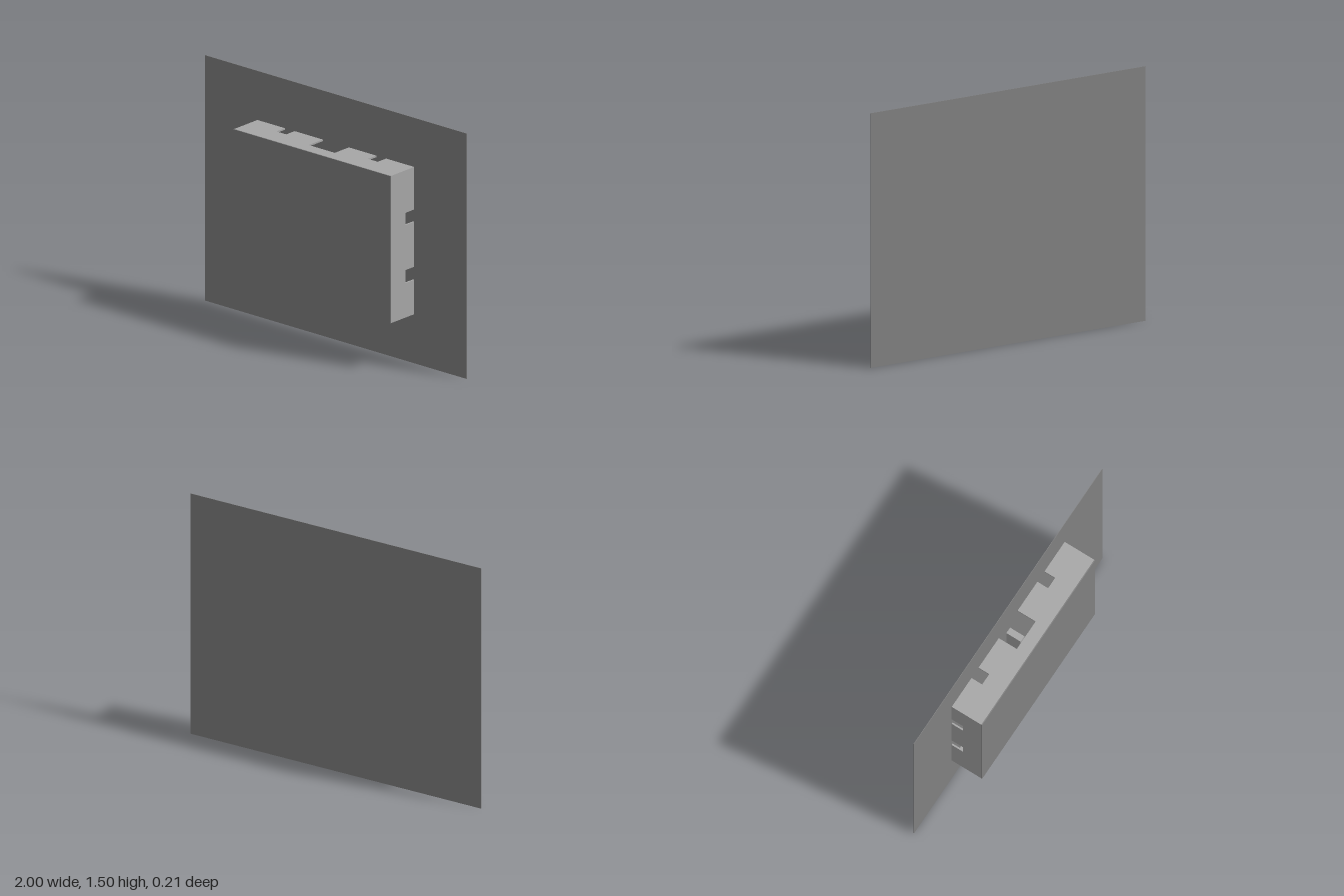
import * as THREE from 'three';

const BACK = -0.105, FRONT = 0.105, PLATE = 0.006, WALL = 0.01;

export function createModel() {
  const group = new THREE.Group();
  const dark = new THREE.MeshStandardMaterial({ color: 0x808080 });
  dark.name = 'dark grey';
  const light = new THREE.MeshStandardMaterial({ color: 0xa6a6a6 });
  light.name = 'light grey';

  function box(name, w, h, d, x, y, z, material) {
    const mesh = new THREE.Mesh(new THREE.BoxGeometry(w, h, d), material);
    mesh.position.set(x, y, z);
    mesh.name = name;
    group.add(mesh);
  }

  // Housing wall running from u0 to u1; notches are [start, end, depth limit], cut from the back edge
  function wall(name, u0, u1, notches, orient) {
    const shape = new THREE.Shape();
    shape.moveTo(u0, FRONT - PLATE);
    shape.lineTo(u0, BACK);
    for (const [a, b, z] of notches) {
      shape.lineTo(a, BACK);
      shape.lineTo(a, z);
      shape.lineTo(b, z);
      shape.lineTo(b, BACK);
    }
    shape.lineTo(u1, BACK);
    shape.lineTo(u1, FRONT - PLATE);
    const geometry = new THREE.ExtrudeGeometry(shape, { depth: WALL, bevelEnabled: false });
    orient(geometry);
    const mesh = new THREE.Mesh(geometry, light);
    mesh.name = name;
    group.add(mesh);
  }

  // Large thin sheet behind the housing
  box('backSheet', 2, 1.5, 0.003, 0, 0.75, BACK + 0.0005, dark);
  // Thin cover closing the front of the housing
  box('frontCover', 1.2, 0.9, PLATE, 0, 0.75, FRONT - PLATE / 2, dark);

  // Top and bottom walls, with cable openings
  const horizontal = (y) => (g) => g.rotateX(Math.PI / 2).translate(0, y, 0);
  wall('topWall', -0.6, 0.6,
    [[-0.39, -0.315, -0.03], [-0.1, 0.1, 0.02], [0.31, 0.385, -0.03]], horizontal(1.2));
  wall('bottomWall', -0.6, 0.6,
    [[-0.3, -0.225, -0.03], [-0.08, 0.08, 0], [0.37, 0.445, -0.03]], horizontal(0.3 + WALL));

  // Side walls
  const turn = new THREE.Matrix4().makeBasis(
    new THREE.Vector3(0, 1, 0), new THREE.Vector3(0, 0, 1), new THREE.Vector3(1, 0, 0));
  const vertical = (x) => (g) => g.applyMatrix4(turn).translate(x, 0, 0);
  wall('leftWall', 0.3 + WALL, 1.2 - WALL,
    [[0.51, 0.59, -0.025], [0.865, 0.94, -0.025]], vertical(0.6 - WALL));
  wall('rightWall', 0.3 + WALL, 1.2 - WALL,
    [[0.56, 0.635, -0.025], [0.915, 0.99, -0.025]], vertical(-0.6));

  // Post inside the housing, behind the middle opening
  box('innerPost', 0.04, 0.7, 0.1, 0, 0.75, BACK + 0.05, light);
  return group;
}
